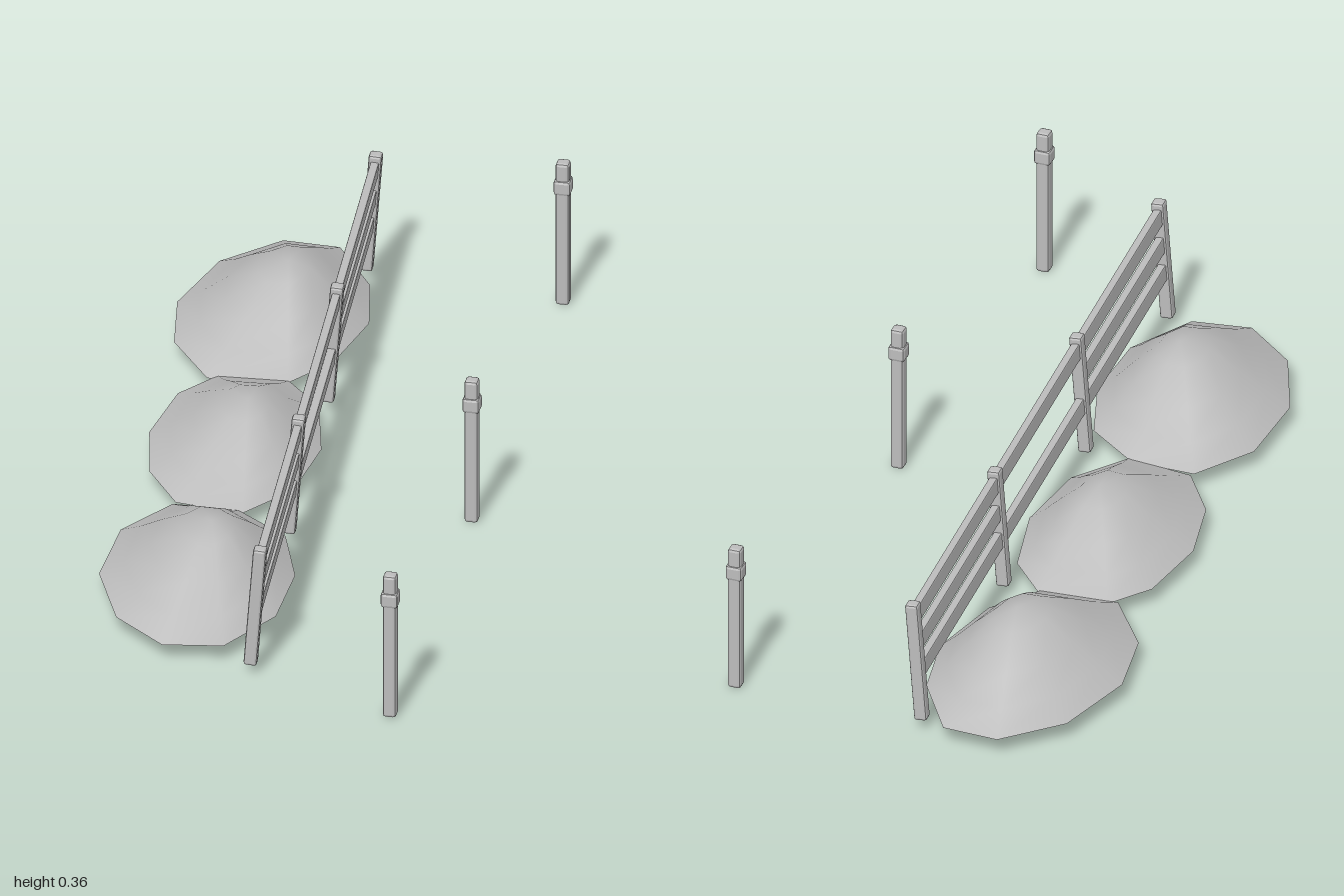
import * as THREE from 'three';
import { RoundedBoxGeometry } from 'three/addons/geometries/RoundedBoxGeometry.js';

const grey = new THREE.MeshStandardMaterial({ color: 0xbcbcbc, side: THREE.DoubleSide });
grey.name = 'plainGrey';

// Bar with chamfered edges and flat faces
function bar(name, w, h, d, x, y, z, bevel) {
  const geo = new RoundedBoxGeometry(w, h, d, 1, bevel);
  geo.computeVertexNormals();
  const mesh = new THREE.Mesh(geo, grey);
  mesh.name = name;
  mesh.position.set(x, y, z);
  return mesh;
}

// Leaning fence: four posts, full-length rails and middle rails in the end bays
function makeFence() {
  const fence = new THREE.Group();
  fence.name = 'fence';
  const bay = 0.601;
  for (let i = 0; i < 4; i++) {
    fence.add(bar('fencePost', 0.03, 0.296, 0.03, 0, 0, (1.5 - i) * bay, 0.006));
  }
  fence.add(bar('topRail', 0.019, 0.04, 3 * bay, 0, 0.113, 0, 0.003));
  fence.add(bar('bottomRail', 0.019, 0.04, 3 * bay, 0, -0.028, 0, 0.003));
  for (const s of [-1, 1]) {
    fence.add(bar('middleRail', 0.019, 0.04, bay, 0, 0.042, s * bay, 0.003));
  }
  fence.rotation.set(0, 0.06, -0.075, 'YXZ');
  fence.position.set(0.015, 0.1725, -0.045);
  return fence;
}

// Free-standing marker post with a band near the top
function makeMarker(z) {
  const marker = new THREE.Group();
  marker.name = 'markerPost';
  marker.add(bar('markerShaft', 0.031, 0.36, 0.031, 0, 0.18, 0, 0.007));
  marker.add(bar('markerBand', 0.039, 0.037, 0.039, 0, 0.299, 0, 0.007));
  marker.position.set(0.401, 0, z);
  return marker;
}

// Open dome: rings shrink from an irregular outline towards the peak
function makeMound(outline, [px, py, pz]) {
  const base = 0.043, n = outline.length;
  const rings = [[0.27, 0.9], [0.55, 0.56], [0.78, 0.25], [1, 0]];
  const pos = [px, py, pz], index = [];
  rings.forEach(([t, h], r) => {
    outline.forEach(([x, z], i) => {
      pos.push(px + (x - px) * t, base + (py - base) * h, pz + (z - pz) * t);
      const a = 1 + r * n + i, b = 1 + r * n + (i + 1) % n;
      if (r === 0) index.push(0, b, a);
      else index.push(a - n, b - n, b, a - n, b, a);
    });
  });
  const geo = new THREE.BufferGeometry();
  geo.setAttribute('position', new THREE.Float32BufferAttribute(pos, 3));
  geo.setIndex(index);
  geo.computeVertexNormals();
  const mesh = new THREE.Mesh(geo, grey);
  mesh.name = 'mound';
  return mesh;
}

export function createModel() {
  const model = new THREE.Group();
  model.name = 'fenceWithMounds';
  model.add(makeFence());
  for (const z of [-0.925, 0.08, 0.98]) model.add(makeMarker(z));

  // Mounds along the fence, back to front
  model.add(makeMound([[-0.25, -1], [-0.12, -0.995], [-0.02, -0.84], [0.013, -0.67], [-0.03, -0.48],
    [-0.11, -0.37], [-0.29, -0.355], [-0.395, -0.5], [-0.425, -0.68], [-0.37, -0.88]], [-0.17, 0.184, -0.67]));
  model.add(makeMound([[-0.27, -0.37], [-0.11, -0.38], [-0.02, -0.28], [0.024, -0.09], [0, 0.105],
    [-0.09, 0.228], [-0.245, 0.21], [-0.33, 0.085], [-0.367, -0.09], [-0.34, -0.275]], [-0.14, 0.16, -0.08]));
  model.add(makeMound([[-0.25, 0.217], [-0.1, 0.217], [0.025, 0.31], [0.082, 0.48], [0.077, 0.67],
    [-0.01, 0.825], [-0.145, 0.847], [-0.27, 0.745], [-0.347, 0.56], [-0.34, 0.355]], [-0.1, 0.185, 0.52]));
  return model;
}
